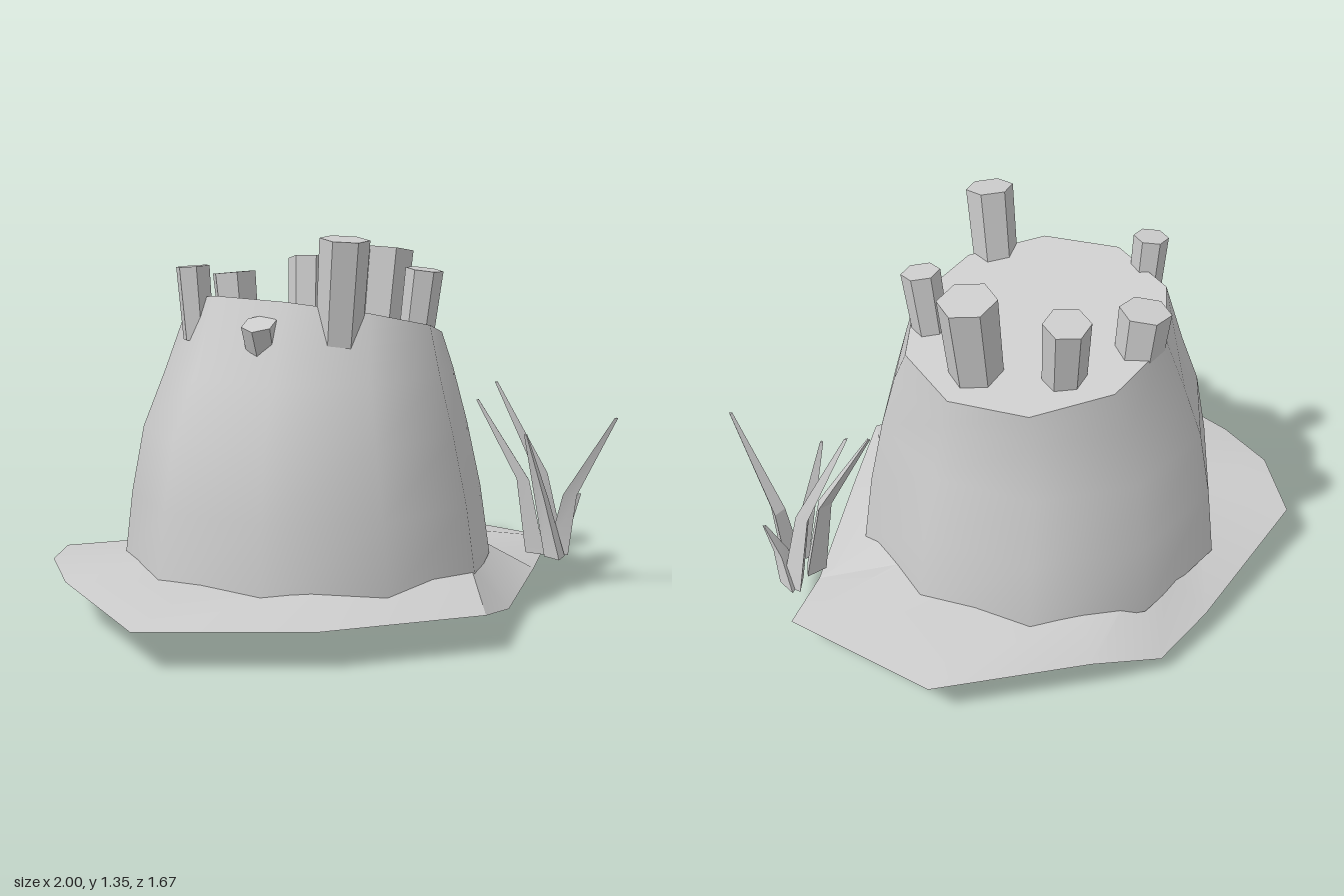
import * as THREE from 'three';
import { toCreasedNormals } from 'three/addons/utils/BufferGeometryUtils.js';

const stone = new THREE.MeshStandardMaterial({ color: 0xcccccc });
stone.name = 'plain grey';

// Skin a stack of rings (counter-clockwise from above, bottom to top) and cap both ends
function loft(rings, crease) {
  const n = rings[0].length;
  const pos = rings.flat(2);
  const idx = [];
  for (let r = 0; r < rings.length - 1; r++) {
    for (let i = 0; i < n; i++) {
      const a = r * n + i, b = r * n + (i + 1) % n;
      idx.push(a, b, b + n, a, b + n, a + n);
    }
  }
  const top = (rings.length - 1) * n;
  for (let i = 1; i < n - 1; i++) {
    idx.push(0, i + 1, i, top, top + i, top + i + 1);
  }
  const g = new THREE.BufferGeometry();
  g.setAttribute('position', new THREE.Float32BufferAttribute(pos, 3));
  g.setIndex(idx);
  return toCreasedNormals(g, crease);
}

function ring(n, cx, cz, r, height, turn = 0) {
  return Array.from({ length: n }, (_, i) => {
    const a = turn + (i / n) * Math.PI * 2;
    const x = cx + Math.cos(a) * r, z = cz - Math.sin(a) * r;
    return [x, height(x, z), z];
  });
}

export function createModel() {
  const model = new THREE.Group();
  const add = (name, geometry) => {
    const mesh = new THREE.Mesh(geometry, stone);
    mesh.name = name;
    model.add(mesh);
  };

  // Irregular ground slab: shallow underside, uneven rim, raised middle
  const rim = [
    [-1, 0.13, 0.23], [-0.56, 0.13, 0.61], [-0.02, 0.13, 0.83], [0.25, 0.07, 0.69],
    [0.74, 0.07, 0.38], [1, 0.13, 0.24], [0.93, 0.13, -0.35], [0.49, 0.13, -0.7],
    [0.26, 0.06, -0.83], [0, 0.09, -0.84], [-0.61, 0.16, -0.8], [-0.8, 0.18, -0.58],
    [-0.9, 0.16, -0.33],
  ];
  const scaled = (s, y) => rim.map(([x, , z]) => [x * s, y, z * s]);
  const shoulder = rim.map(([x, , z]) => {
    const s = 0.62 / Math.hypot(x, z);
    return [x * s, 0.2, z * s - 0.04];
  });
  add('groundSlab', loft([scaled(0.1, 0), scaled(0.52, 0.02), rim, shoulder], 0.5));

  // Ten-sided mound with a sloping flat top
  const topY = (x, z) => 1.065 - 0.19 * x + 0.02 * z;
  add('mound', loft([
    ring(10, -0.02, -0.06, 0.68, () => 0.16),
    ring(10, -0.025, -0.06, 0.645, () => 0.42),
    ring(10, -0.03, -0.06, 0.595, () => 0.66),
    ring(10, -0.005, -0.07, 0.53, () => 0.86),
    ring(10, 0.05, -0.095, 0.465, topY),
  ], 0.75));

  // Leaning six-sided columns: base x, y, z, top x, y, z, radius, turn
  const columns = [
    [-0.03, 0.95, -0.46, -0.04, 1.2, -0.48, 0.088, 0],
    [-0.17, 0.95, 0.27, -0.185, 1.34, 0.32, 0.085, 0.35],
    [0.265, 0.95, 0.2, 0.275, 1.225, 0.235, 0.068, 0.25],
    [0.345, 0.92, -0.08, 0.395, 1.29, -0.085, 0.1, 0.1],
    [-0.39, 0.98, -0.23, -0.405, 1.24, -0.24, 0.062, 0.1],
    [0.21, 0.95, -0.34, 0.25, 1.25, -0.38, 0.08, 0.2],
    [-0.36, 0.92, 0.11, -0.41, 1.06, 0.14, 0.06, 0.5],
  ];
  for (const [bx, by, bz, tx, ty, tz, r, turn] of columns) {
    const slant = (x, z) => ty - (x - tx) * (tx - bx) / (ty - by) - (z - tz) * (tz - bz) / (ty - by);
    add('column', loft([
      ring(6, bx, bz, r * 0.92, () => by, turn),
      ring(6, tx, tz, r, slant, turn),
    ], 0.3));
  }

  // Tapered bent grass blades: base, bend, tip, turn
  const blades = [
    [[0.76, 0.13, 0.38], [0.71, 0.42, 0.35], [0.605, 0.72, 0.2], 0.3],
    [[0.86, 0.13, 0.37], [0.81, 0.43, 0.34], [0.705, 0.78, 0.2], 1.2],
    [[0.81, 0.13, 0.44], [0.8, 0.37, 0.5], [0.78, 0.69, 0.72], 0.6],
    [[0.75, 0.13, 0.48], [0.72, 0.36, 0.43], [0.62, 0.61, 0.43], 2],
    [[0.87, 0.13, 0.38], [0.86, 0.25, 0.43], [0.88, 0.36, 0.48], 0.9],
  ];
  for (const [base, bend, tip, turn] of blades) {
    const section = ([x, y, z], r) => ring(3, x, z, r, () => y, turn);
    add('grassBlade', loft([section(base, 0.046), section(bend, 0.03), section(tip, 0.007)], 0.3));
  }

  return model;
}
